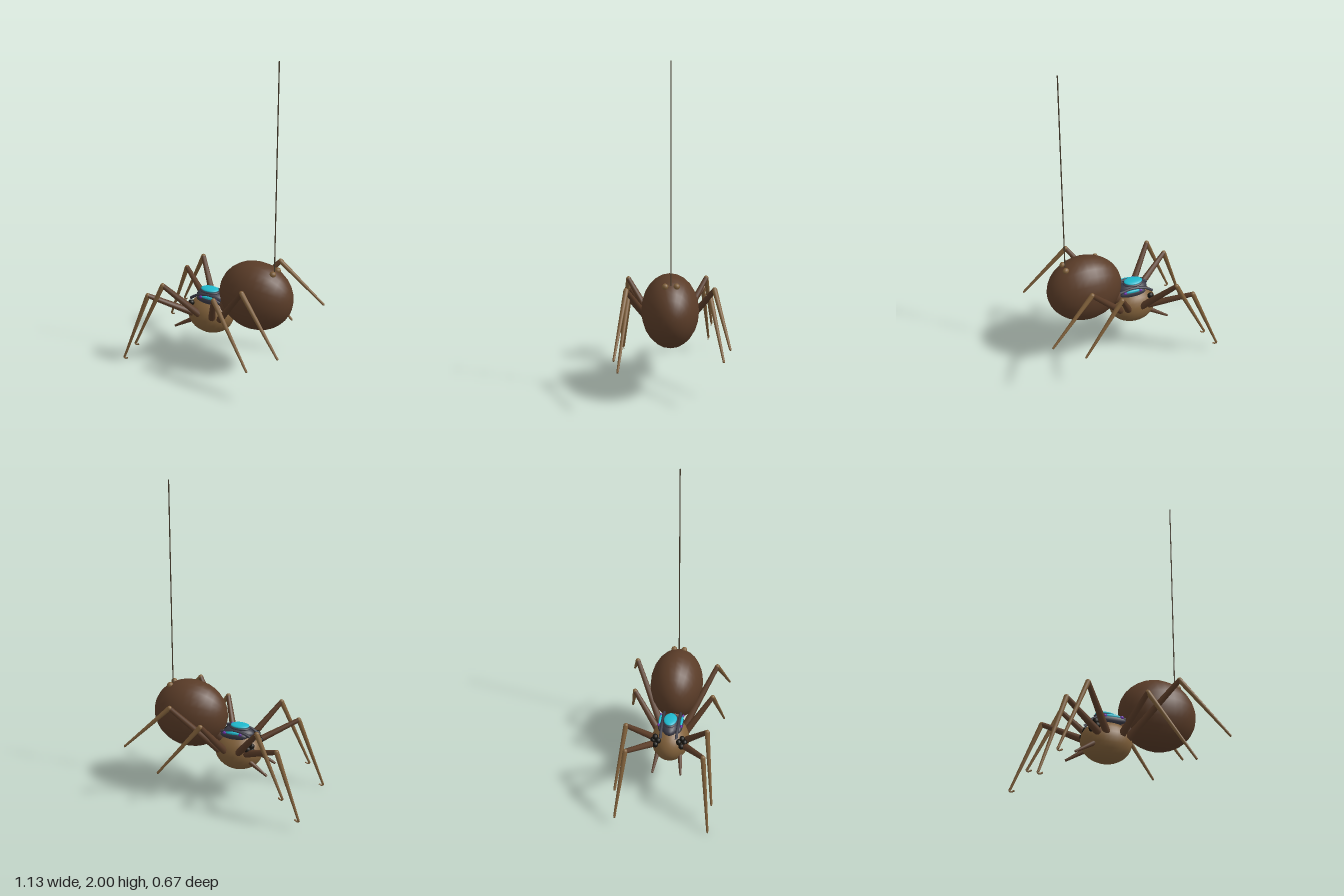
import * as THREE from 'three';

const mat = (color) => new THREE.MeshStandardMaterial({ color });
const V = (x, y, z) => new THREE.Vector3(x, y, z);

export function createModel() {
  const group = new THREE.Group();
  const darkBrown = mat(0x5a3c28), brown = mat(0x80603a), black = mat(0x15130f);
  const grey = mat(0x3a3a46), cyan = mat(0x1fb8cc), purple = mat(0x6a30a8), silk = mat(0x4a4030);

  const add = (name, geometry, material, parent = group) => {
    const mesh = new THREE.Mesh(geometry, material);
    mesh.name = name;
    parent.add(mesh);
    return mesh;
  };

  // Ellipsoid with its poles along x
  const ellipsoid = (name, c, r, material, ws = 16, hs = 12) => {
    const geo = new THREE.SphereGeometry(1, ws, hs).rotateZ(Math.PI / 2);
    geo.scale(r[0], r[1], r[2]);
    const mesh = add(name, geo, material);
    mesh.position.set(...c);
    return mesh;
  };

  // Tapered rod from a to b
  const rod = (name, a, b, ra, rb, material, parent = group) => {
    const dir = b.clone().sub(a);
    const mesh = add(name, new THREE.CylinderGeometry(rb, ra, dir.length(), 10), material, parent);
    mesh.position.copy(a).add(b).multiplyScalar(0.5);
    mesh.quaternion.setFromUnitVectors(V(0, 1, 0), dir.normalize());
    return mesh;
  };

  const tube = (name, pts, r, material, parent = group) =>
    add(name, new THREE.TubeGeometry(new THREE.CatmullRomCurve3(pts), 16, r, 8), material, parent);

  // Body
  ellipsoid('abdomen', [0.25, 0.53, 0], [0.24, 0.22, 0.171], darkBrown, 24, 16);
  ellipsoid('headThorax', [-0.071, 0.325, 0], [0.153, 0.125, 0.12], brown, 24, 18);
  rod('waist', V(0, 0.37, 0), V(0.1, 0.45, 0), 0.05, 0.06, darkBrown);

  // Hanging thread
  rod('thread', V(0.37, 0.71, 0), V(0.37, 2, 0), 0.0035, 0.0035, silk);

  // Legs: base, knee and foot; the +z feet reach a little lower
  const legs = [
    { name: 'firstLeg', base: [-0.15, 0.35, 0.09], knee: [-0.39, 0.475, 0.238], foot: [-0.55, 0.075, 0.29], hook: true },
    { name: 'secondLeg', base: [-0.1, 0.35, 0.095], knee: [-0.27, 0.578, 0.25], foot: [-0.45, 0.21, 0.302], hook: true },
    { name: 'thirdLeg', base: [-0.01, 0.35, 0.095], knee: [0.09, 0.565, 0.25], foot: [0.35, 0.24, 0.314] },
    { name: 'fourthLeg', base: [0.035, 0.34, 0.075], knee: [0.285, 0.665, 0.26], foot: [0.56, 0.395, 0.33] },
  ];
  for (const s of [1, -1]) {
    for (const { name, base, knee, foot, hook } of legs) {
      const leg = new THREE.Group();
      leg.name = name;
      group.add(leg);
      const [b, k, f] = [base, knee, foot].map(([x, y, z]) => V(x, y, z * s));
      if (s > 0) f.y -= 0.057;
      rod('upperLeg', b, k, 0.023, 0.015, darkBrown, leg);
      rod('lowerLeg', k, f, 0.0155, 0.007, brown, leg);
      add('knee', new THREE.SphereGeometry(0.0155, 10, 8), brown, leg).position.copy(k);
      if (hook) {
        const at = (x, y) => V(f.x + x, f.y + y, f.z - s * x * 0.15);
        tube('claw', [at(0.002, 0.012), at(-0.004, -0.004), at(0.006, -0.011), at(0.026, -0.002)], 0.005, brown, leg);
      } else {
        add('legTip', new THREE.SphereGeometry(0.007, 8, 6), brown, leg).position.copy(f);
      }
    }

    // Feelers and spinnerets
    rod('feeler', V(-0.16, 0.295, 0.07 * s), V(-0.285, 0.22, 0.09 * s), 0.016, 0.007, darkBrown);
    ellipsoid('spinneret', [0.375, 0.713, 0.033 * s], [0.02, 0.02, 0.019], brown, 10, 8);

    // Eyes
    for (const [x, y, z] of [[-0.175, 0.395, 0.065], [-0.165, 0.415, 0.085], [-0.162, 0.385, 0.1], [-0.185, 0.37, 0.082]])
      ellipsoid('eye', [x, y, z * s], [0.02, 0.02, 0.018], black, 12, 8);

    // Harness rails with side panels and studs
    tube('harnessRail', [V(-0.19, 0.425, 0.05 * s), V(-0.14, 0.458, 0.051 * s), V(-0.06, 0.474, 0.052 * s), V(0.03, 0.46, 0.053 * s)], 0.009, grey);
    ellipsoid('sideMount', [-0.055, 0.445, 0.06 * s], [0.085, 0.025, 0.02], grey);
    ellipsoid('sidePanel', [-0.053, 0.465, 0.069 * s], [0.048, 0.011, 0.009], cyan);
    for (const x of [-0.103, 0])
      ellipsoid('sideStud', [x, 0.463, 0.072 * s], [0.011, 0.01, 0.007], purple, 10, 8);
  }

  // Harness housing with glowing cap
  ellipsoid('harnessHousing', [-0.07, 0.445, 0], [0.1, 0.042, 0.056], grey, 20, 14);
  ellipsoid('capRim', [-0.078, 0.482, 0], [0.068, 0.014, 0.046], grey, 20, 14);
  ellipsoid('cap', [-0.078, 0.494, 0], [0.06, 0.012, 0.041], cyan, 20, 14);
  ellipsoid('rearStud', [0.01, 0.462, 0], [0.012, 0.01, 0.012], black, 10, 8);
  return group;
}
